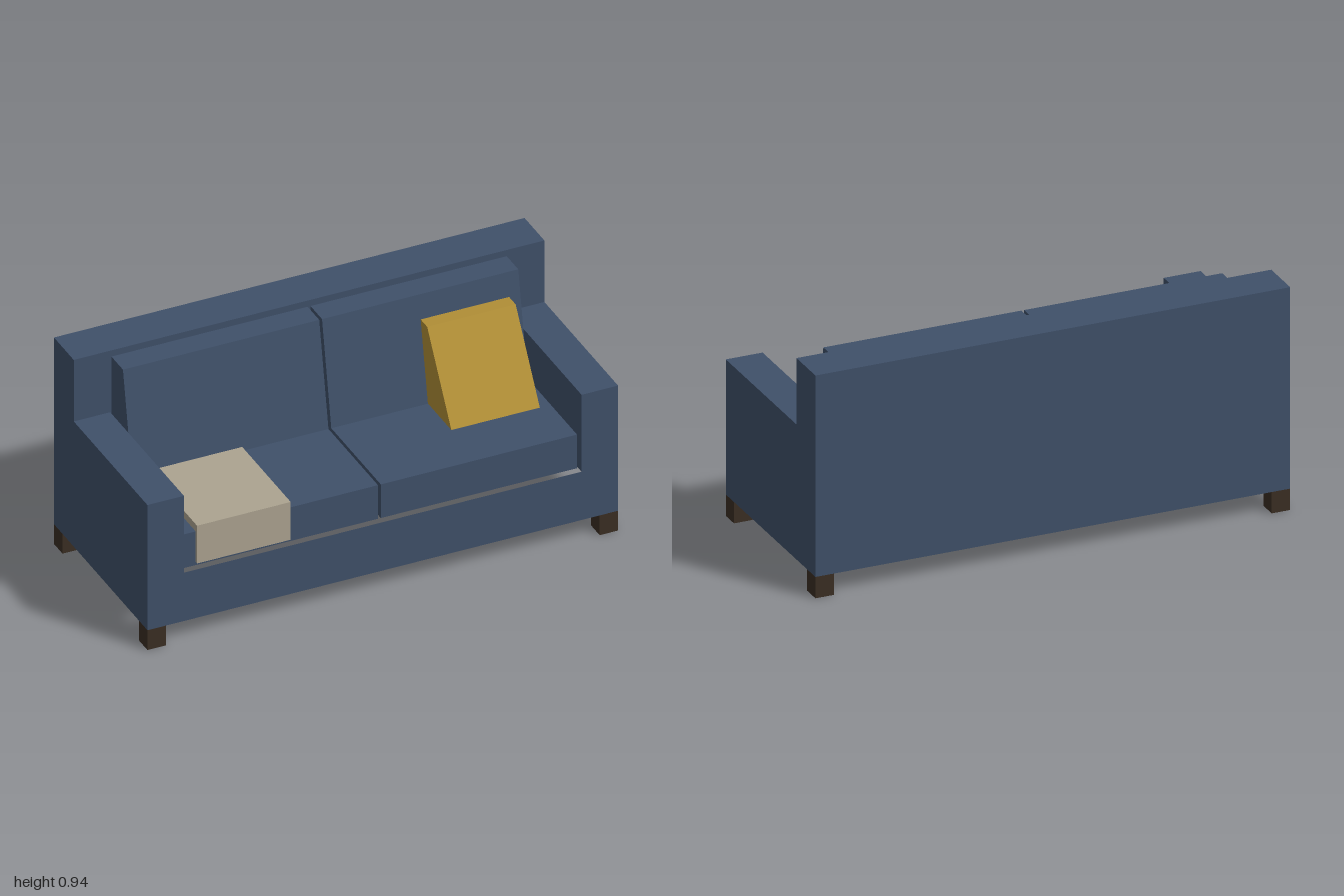
import * as THREE from 'three';

const FACES = ['px', 'nx', 'py', 'ny', 'pz', 'nz'];

// Box between two corners, keeping only the listed faces
function box([x0, x1], [y0, y1], [z0, z1], keep = FACES) {
  const g = new THREE.BoxGeometry(x1 - x0, y1 - y0, z1 - z0);
  const all = Array.from(g.index.array);
  g.setIndex(keep.flatMap((f) => {
    const i = FACES.indexOf(f) * 6;
    return all.slice(i, i + 6);
  }));
  g.clearGroups();
  g.translate((x0 + x1) / 2, (y0 + y1) / 2, (z0 + z1) / 2);
  return g;
}

// Side profile given as [z, y] points, stretched from x0 to x1
function prism(points, x0, x1) {
  const shape = new THREE.Shape(points.map(([z, y]) => new THREE.Vector2(z, y)));
  const g = new THREE.ExtrudeGeometry(shape, { depth: x1 - x0, bevelEnabled: false });
  g.rotateY(-Math.PI / 2);
  g.translate(x1, 0, 0);
  return g;
}

export function createModel() {
  const group = new THREE.Group();
  group.name = 'sofa';

  const mat = (name, color, side = THREE.FrontSide) => {
    const m = new THREE.MeshStandardMaterial({ color, side });
    m.name = name;
    return m;
  };
  const navy = mat('navy fabric', 0x3f5069, THREE.DoubleSide);
  const wood = mat('dark wood', 0x3a2e23);
  const mustard = mat('mustard fabric', 0xb08e36);
  const beige = mat('beige wool', 0xaca390);

  const add = (name, geometry, material) => {
    const mesh = new THREE.Mesh(geometry, material);
    mesh.name = name;
    group.add(mesh);
  };

  const base = 0.09, seatBottom = 0.31, seatTop = 0.463, armTop = 0.66, top = 0.94;
  const inner = 0.845, front = 0.42, backFront = -0.242;

  // Hollow upholstered frame, open underneath
  add('backrest', box([-1, 1], [base, top], [-front, backFront], ['px', 'nx', 'py', 'nz']), navy);
  add('backrestUpperFront', box([-1, 1], [armTop, top], [-front, backFront], ['pz']), navy);
  add('backrestLowerFront', box([-inner, inner], [seatBottom, armTop], [-front, backFront], ['pz']), navy);
  add('frontRail', box([-inner, inner], [base, seatBottom], [0, front], ['pz']), navy);

  for (const s of [1, -1]) {
    const side = s > 0 ? 'left' : 'right';
    const span = (a, b) => (s > 0 ? [a, b] : [-b, -a]);
    const [outFace, inFace] = s > 0 ? ['px', 'nx'] : ['nx', 'px'];

    // Arm shell, with its inner wall stopping at seat level
    add(side + 'Arm', box(span(inner, 1), [base, armTop], [backFront, front], [outFace, 'py', 'pz']), navy);
    add(side + 'ArmInnerWall', box(span(inner, 1), [seatBottom, armTop], [backFront, front], [inFace]), navy);

    // Seat cushion, open underneath
    add(side + 'SeatCushion',
      box(span(0.006, 0.84), [seatBottom, seatTop], [backFront, 0.39], ['px', 'nx', 'py', 'pz', 'nz']), navy);

    // Sloping back cushion
    const [x0, x1] = span(0.006, 0.84);
    add(side + 'BackCushion',
      prism([[backFront, seatTop], [-0.055, seatTop], [-0.138, 0.912], [backFront, 0.912]], x0, x1), navy);

    // Front and back legs
    add(side + 'FrontLeg', box(span(0.922, 1), [0, base], [0.343, front]), wood);
    add(side + 'BackLeg', box(span(0.922, 1), [0, base], [-front, -0.343]), wood);
  }

  // Pillow leaning on the back cushion
  add('pillow',
    prism([[-0.054, 0.465], [0.157, 0.465], [-0.06, 0.81], [-0.119, 0.81]], 0.416, 0.792), mustard);

  // Throw draped over the seat edge
  add('throw',
    prism([[-0.031, 0.465], [0.392, 0.465], [0.392, 0.326], [0.405, 0.326], [0.405, 0.498], [-0.031, 0.498]],
      -0.782, -0.384), beige);

  return group;
}
